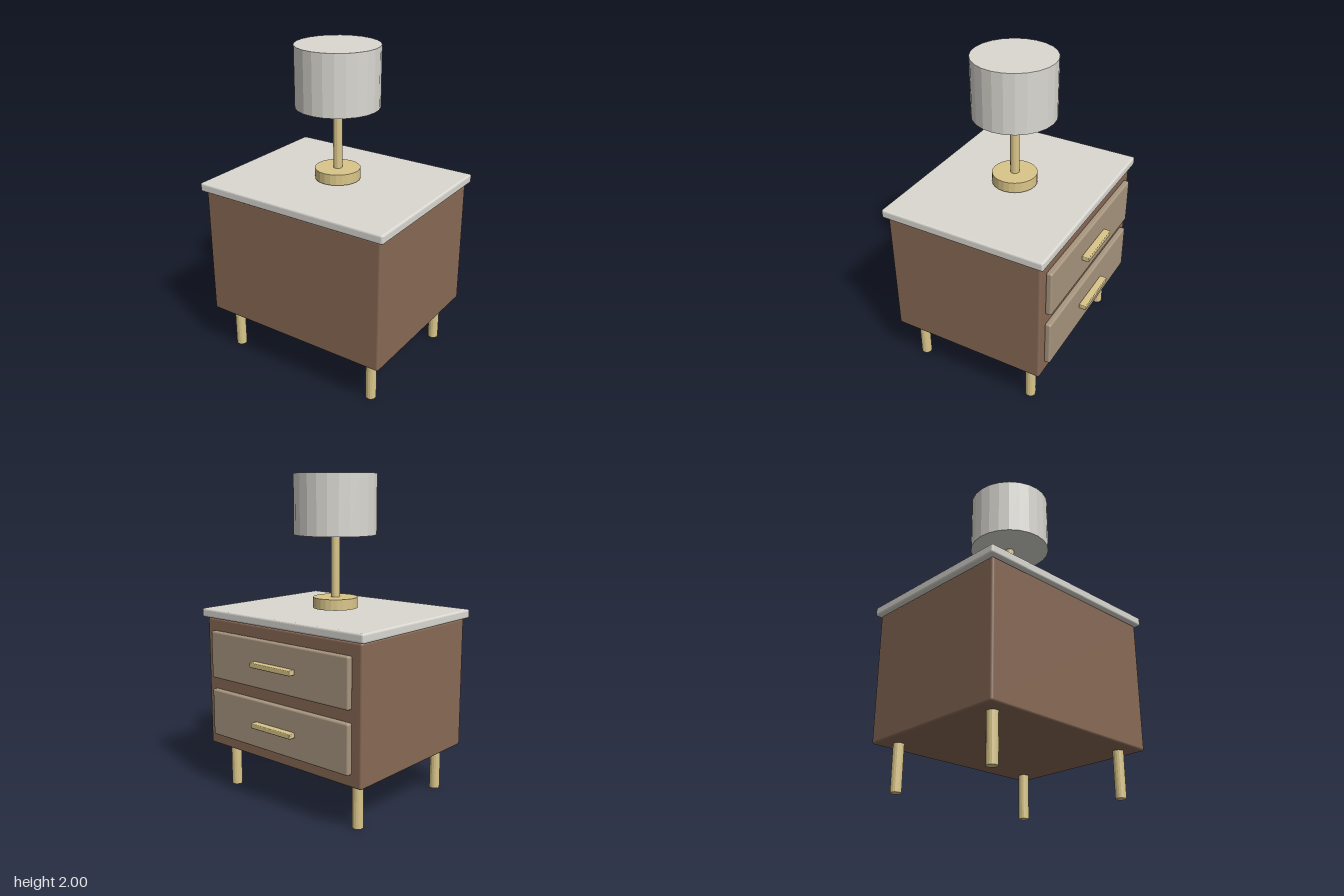
import * as THREE from 'three';
import { RoundedBoxGeometry } from 'three/addons/geometries/RoundedBoxGeometry.js';

const CZ = 0.027; // depth centre of the cabinet; handles stick out at the back

export function createModel() {
  const model = new THREE.Group();
  model.name = 'nightstandWithLamp';

  const material = (name, color, flatShading = false) => {
    const m = new THREE.MeshStandardMaterial({ color, flatShading });
    m.name = name;
    return m;
  };
  const wood = material('brown wood', 0x886955);
  const drawerWood = material('taupe drawer wood', 0xa8967f);
  const stone = material('pale grey', 0xdad8d1, true);
  const brass = material('brass', 0xdac68a, true);

  const add = (name, geometry, mat, x, y, z) => {
    const mesh = new THREE.Mesh(geometry, mat);
    mesh.name = name;
    mesh.position.set(x, y, z);
    model.add(mesh);
  };
  // Rounded box given by its bottom and top heights
  const box = (name, mat, w, y0, y1, d, z, r) =>
    add(name, new RoundedBoxGeometry(w, y1 - y0, d, 2, r), mat, 0, (y0 + y1) / 2, z);
  // Upright cylinder given by its bottom and top heights
  const rod = (name, mat, r, y0, y1, x, z, sides = 24) =>
    add(name, new THREE.CylinderGeometry(r, r, y1 - y0, sides), mat, x, (y0 + y1) / 2, z);

  // Cabinet
  box('cabinetBody', wood, 1.248, 0.285, 1.112, 1.016, CZ, 0.015);
  box('tableTop', stone, 1.3, 1.113, 1.169, 1.066, CZ, 0.012);

  // Legs
  for (const sx of [-1, 1])
    for (const sz of [-1, 1])
      rod('leg', brass, 0.033, 0, 0.287, sx * 0.512, CZ + sz * 0.396, 16);

  // Drawer fronts with bar handles
  for (const y of [0.512, 0.886]) {
    box('drawerFront', drawerWood, 1.115, y - 0.15, y + 0.15, 0.04, -0.497, 0.012);
    box('drawerHandle', brass, 0.325, y - 0.016, y + 0.016, 0.046, -0.54, 0.006);
  }

  // Lamp
  rod('lampBase', brass, 0.14, 1.178, 1.245, 0, CZ);
  rod('lampPole', brass, 0.028, 1.24, 1.64, 0, CZ, 16);
  rod('lampShade', stone, 0.256, 1.631, 2, 0, CZ);

  return model;
}
